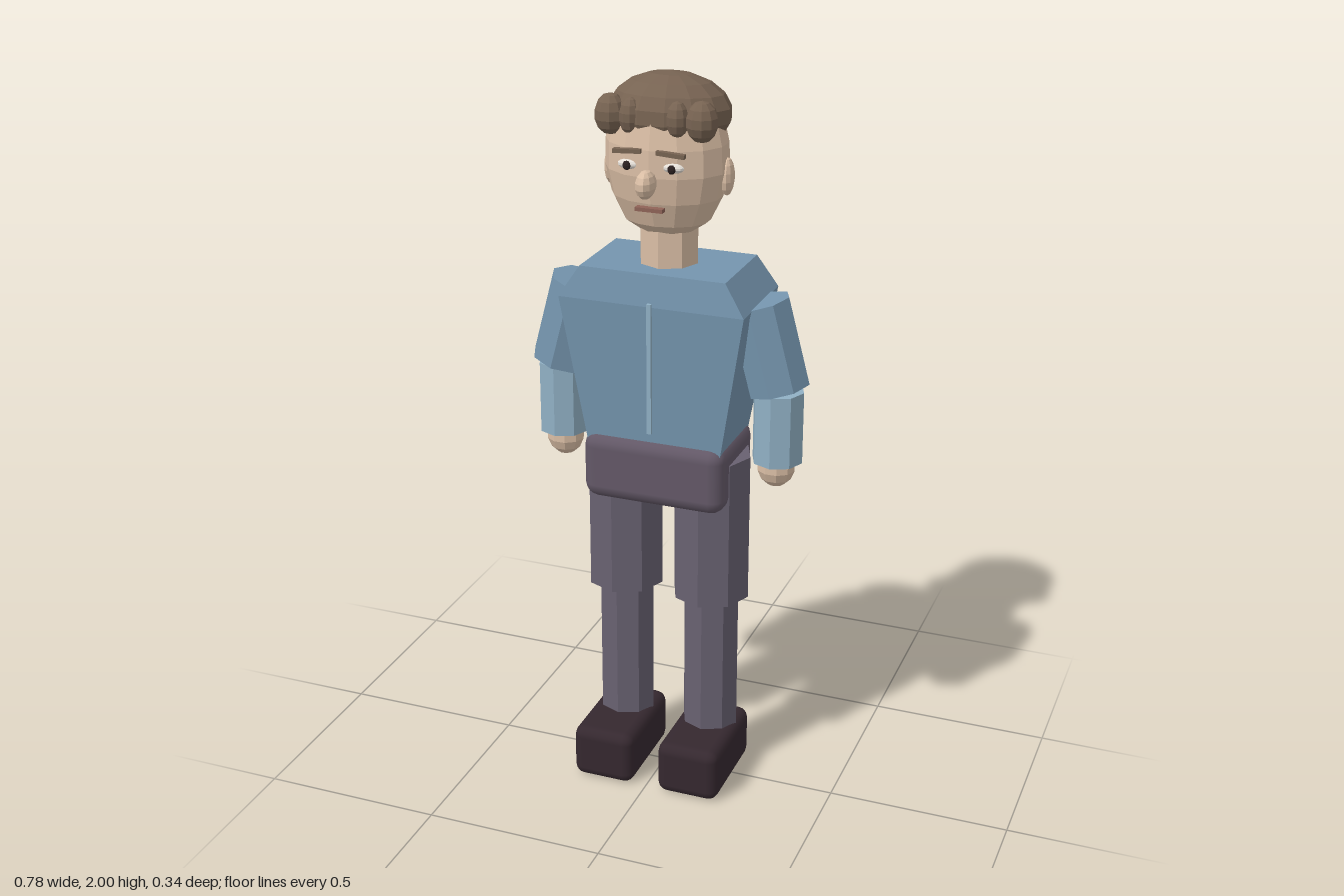
import * as THREE from 'three';
import { RoundedBoxGeometry } from 'three/addons/geometries/RoundedBoxGeometry.js';

const mat = (name, color) => {
  const m = new THREE.MeshStandardMaterial({ color });
  m.name = name;
  return m;
};

// Split the faces so every facet is shaded flat
function facet(geometry) {
  const g = geometry.index ? geometry.toNonIndexed() : geometry;
  g.computeVertexNormals();
  return g;
}

export function createModel() {
  const shirt = mat('shirt blue', 0x7595ae);
  const cuff = mat('light sleeve blue', 0x90b0c4);
  const trouser = mat('trouser grey', 0x686170);
  const hip = mat('hip grey', 0x635867);
  const leather = mat('shoe leather', 0x35282f);
  const skin = mat('skin', 0xdabea5);
  const hairMat = mat('hair brown', 0x776352);
  const white = mat('eye white', 0xeee8e0);
  const dark = mat('pupil dark', 0x2a2020);
  const lip = mat('lip', 0x8f6357);

  const model = new THREE.Group();
  model.name = 'standingMan';

  function add(name, geometry, material, x, y, z) {
    const mesh = new THREE.Mesh(geometry, material);
    mesh.name = name;
    mesh.position.set(x, y, z);
    model.add(mesh);
    return mesh;
  }
  // Eight-sided limb between two heights
  const limb = (name, r, y0, y1, material, x, z = -0.03) =>
    add(name, facet(new THREE.CylinderGeometry(r, r, y1 - y0, 8)), material, x, (y0 + y1) / 2, z);
  // Low-poly ellipsoid
  const blob = (name, rx, ry, rz, material, x, y, z, w = 10, h = 7) =>
    add(name, facet(new THREE.SphereGeometry(1, w, h).scale(rx, ry, rz)), material, x, y, z);

  // Torso: three rectangular rows, [y, half width, back z, front z]
  const rows = [[1.0, 0.185, -0.14, 0.088], [1.42, 0.255, -0.17, 0.112], [1.505, 0.2, -0.153, 0.098]];
  const torso = new THREE.BoxGeometry(2, 2, 2, 1, 2, 1);
  const p = torso.attributes.position;
  for (let i = 0; i < p.count; i++) {
    const [y, hx, back, front] = rows[Math.round(p.getY(i)) + 1];
    p.setXYZ(i, p.getX(i) * hx, y, p.getZ(i) > 0 ? front : back);
  }
  add('torso', facet(torso), shirt, 0, 0, 0);
  add('placket', new THREE.BoxGeometry(0.012, 0.36, 0.009), cuff, 0, 1.25, 0.115);

  // Hips
  add('hips', new RoundedBoxGeometry(0.4, 0.19, 0.27, 2, 0.04), hip, 0, 0.945, -0.025);

  // Limbs, mirrored left and right
  for (const [s, side] of [[1, 'left'], [-1, 'right']]) {
    limb(side + 'Thigh', 0.108, 0.56, 0.98, trouser, s * 0.126, -0.027);
    limb(side + 'Shin', 0.079, 0.14, 0.57, trouser, s * 0.126);
    add(side + 'Shoe', new RoundedBoxGeometry(0.178, 0.155, 0.297, 2, 0.03), leather, s * 0.126, 0.0775, 0.024);

    const arm = limb(side + 'UpperArm', 0.085, 1.185, 1.425, shirt, s * 0.278);
    arm.rotation.z = s * 0.26;
    limb(side + 'Forearm', 0.069, 0.985, 1.185, cuff, s * 0.308);
    blob(side + 'Hand', 0.053, 0.062, 0.05, skin, s * 0.305, 0.972, -0.03);
  }

  // Neck and head
  limb('neck', 0.08, 1.49, 1.68, skin, 0);
  const profile = [[0, 1.588], [0.065, 1.592], [0.115, 1.625], [0.147, 1.69], [0.163, 1.76],
    [0.161, 1.83], [0.145, 1.9], [0.09, 1.95], [0, 1.965]].map(([x, y]) => new THREE.Vector2(x, y));
  const head = new THREE.LatheGeometry(profile, 14).scale(1, 1, 0.8);
  add('head', facet(head), skin, 0, 0, -0.016);
  blob('nose', 0.025, 0.037, 0.04, skin, 0, 1.75, 0.134);
  add('mouth', new THREE.BoxGeometry(0.074, 0.01, 0.02), lip, 0, 1.679, 0.107);

  for (const [s, side] of [[1, 'left'], [-1, 'right']]) {
    blob(side + 'Ear', 0.018, 0.05, 0.028, skin, s * 0.158, 1.745, -0.028);
    blob(side + 'Eye', 0.029, 0.013, 0.014, white, s * 0.06, 1.789, 0.1);
    blob(side + 'Pupil', 0.011, 0.012, 0.008, dark, s * 0.06, 1.788, 0.112, 8, 6);
    const brow = add(side + 'Brow', new THREE.BoxGeometry(0.075, 0.011, 0.016), hairMat, s * 0.058, 1.826, 0.112);
    brow.rotation.z = s * -0.06;
  }

  // Hair cap with curls along the forehead
  const cap = blob('hairCap', 0.163, 0.103, 0.141, hairMat, 0, 1.897, -0.035, 14, 9);
  cap.rotation.x = -0.08;
  for (const s of [1, -1]) {
    blob('outerCurl', 0.042, 0.053, 0.043, hairMat, s * 0.122, 1.903, 0.063);
    blob('innerCurl', 0.03, 0.048, 0.032, hairMat, s * 0.062, 1.905, 0.077);
  }
  return model;
}
